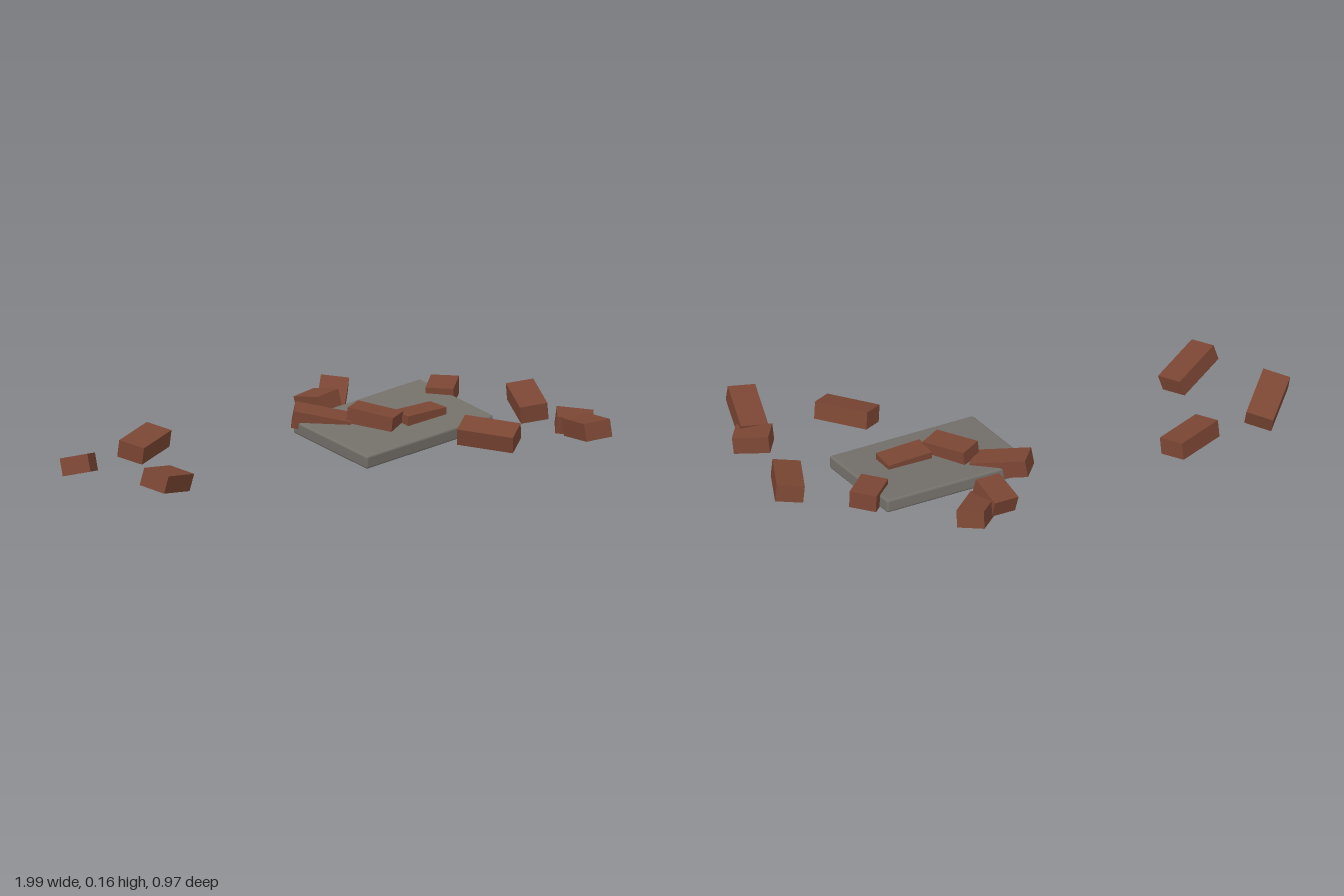
import * as THREE from 'three';
import { RoundedBoxGeometry } from 'three/addons/geometries/RoundedBoxGeometry.js';

const rad = THREE.MathUtils.degToRad;

// Heading first, then pitch along the length, then roll about the length.
function place(mesh, [x, y, z], yaw, pitch, roll) {
  mesh.position.set(x, y, z);
  mesh.rotation.set(rad(roll), rad(yaw), rad(pitch), 'YZX');
  return mesh;
}

export function createModel() {
  const group = new THREE.Group();
  group.name = 'brickRubble';

  const brick = new THREE.MeshStandardMaterial({ color: 0x7b4634 });
  brick.name = 'brick red';
  const concrete = new THREE.MeshStandardMaterial({ color: 0x74706a });
  concrete.name = 'concrete grey';

  // Tilted slab with softened edges, low at the front
  const slab = new THREE.Mesh(new RoundedBoxGeometry(0.59, 0.05, 0.4, 2, 0.009), concrete);
  slab.name = 'slab';
  group.add(place(slab, [0.34, 0.061, -0.04], 17.4, 3.4, 6));

  // Scattered bricks: position, yaw, pitch, roll
  const whole = new THREE.BoxGeometry(0.205, 0.064, 0.1);
  const half = new THREE.BoxGeometry(0.13, 0.064, 0.1);
  const wholeBricks = [
    [[-0.9, 0.087, 0.038], 59, -16, -12],
    [[-0.583, 0.082, -0.115], 38.5, 3, 9],
    [[-0.677, 0.081, 0.306], 40, -13, 10],
    [[0.906, 0.098, 0.373], 90, -10, -4],
    [[0.858, 0.079, -0.05], 81, 8, -6],
    [[0.562, 0.094, 0.298], -39, -4, 15],
    [[0.245, 0.072, -0.368], 62, 14, 6],
    [[0.1, 0.082, -0.122], -25, -11, 4],
  ].map((p) => [whole, 'brick', ...p]);
  const brokenBricks = [
    [[0.917, 0.078, 0.234], -21, -7, 5],
    [[0.168, 0.088, -0.315], 109, -12, -6],
    [[0.605, 0.102, -0.22], 58, 4, 0],
  ].map((p) => [half, 'halfBrick', ...p]);
  // Two bricks resting partly sunk into the slab
  const slabBricks = [
    [[0.26, 0.1, -0.02], -47, -6, 0],
    [[0.43, 0.08, -0.02], 16, 0, 0],
  ].map((p) => [new THREE.BoxGeometry(0.175, 0.064, 0.092), 'slabBrick', ...p]);

  [...wholeBricks, ...brokenBricks, ...slabBricks].forEach(([geo, name, pos, yaw, pitch, roll], i) => {
    const mesh = new THREE.Mesh(geo, brick);
    mesh.name = name + (i + 1);
    group.add(place(mesh, pos, yaw, pitch, roll));
  });

  return group;
}
